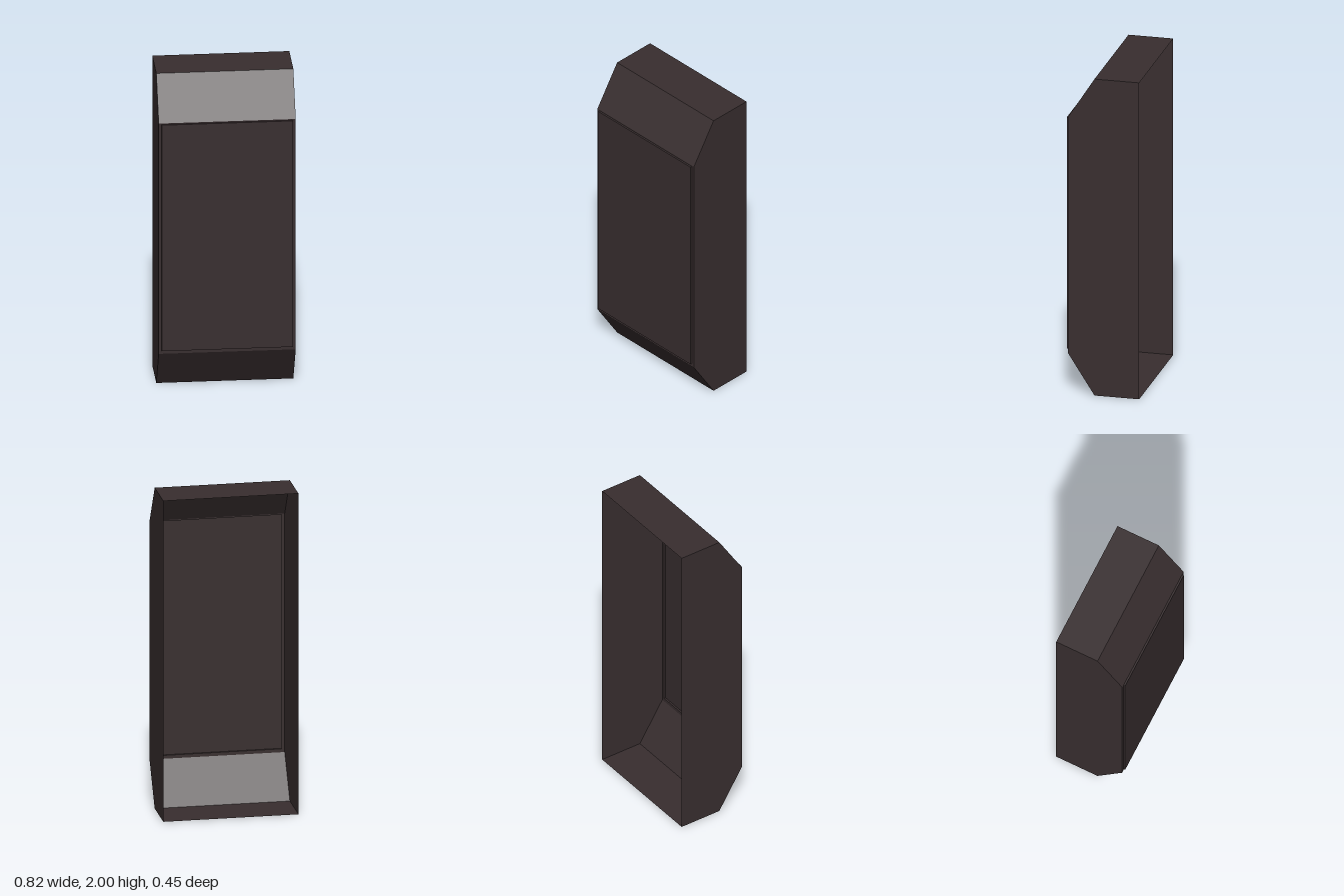
import * as THREE from 'three';

export function createModel() {
  const group = new THREE.Group();
  const darkBrown = new THREE.MeshStandardMaterial({ color: 0x382e2f, side: THREE.DoubleSide });
  darkBrown.name = 'darkBrown';

  const halfWidth = 0.41;
  const add = (name, geometry) => {
    const mesh = new THREE.Mesh(geometry, darkBrown);
    mesh.name = name;
    group.add(mesh);
    return mesh;
  };

  // Flat four-cornered face, corners counter-clockwise from its front
  const quad = (a, b, c, d) => {
    const g = new THREE.BufferGeometry();
    g.setAttribute('position', new THREE.Float32BufferAttribute([a, b, c, a, c, d].flat(), 3));
    g.computeVertexNormals();
    return g;
  };

  // Side profile as [z, y], open at the back
  const profile = [[-0.225, 0], [0.05, 0], [0.214, 0.256], [0.214, 1.744], [0.05, 2], [-0.225, 2]];

  // Side walls
  const sideShape = new THREE.Shape(profile.map(([z, y]) => new THREE.Vector2(-z, y)));
  const sideGeometry = new THREE.ShapeGeometry(sideShape);
  for (const s of [-1, 1]) {
    const geometry = sideGeometry.clone();
    if (s < 0) geometry.scale(-1, 1, 1).rotateY(-Math.PI / 2);
    else geometry.rotateY(Math.PI / 2);
    // Reversed outlines are rebuilt facing outward
    const p = geometry.attributes.position, index = geometry.index.array;
    const [a, b, c] = [0, 1, 2].map(i => new THREE.Vector3().fromBufferAttribute(p, index[i]));
    if (b.sub(a).cross(c.sub(a)).x * s < 0) index.reverse();
    geometry.computeVertexNormals();
    add(s < 0 ? 'rightWall' : 'leftWall', geometry).position.x = s * halfWidth;
  }

  // Base, bevels and top follow the profile
  const strips = { 0: 'base', 1: 'lowerBevel', 3: 'upperBevel', 4: 'top' };
  for (const [i, name] of Object.entries(strips)) {
    const [z0, y0] = profile[+i], [z1, y1] = profile[+i + 1];
    add(name, quad([-halfWidth, y0, z0], [halfWidth, y0, z0], [halfWidth, y1, z1], [-halfWidth, y1, z1]));
  }

  // Front frame around the raised panel
  const px = 0.392, py0 = 0.277, py1 = 1.737, zFrame = 0.214, zPanel = 0.225;
  const rectangle = (Type, x, y0, y1) => new Type([[-x, y0], [x, y0], [x, y1], [-x, y1]]
    .map(([u, v]) => new THREE.Vector2(u, v)));
  const frame = rectangle(THREE.Shape, halfWidth, 0.256, 1.744);
  frame.holes.push(rectangle(THREE.Path, px, py0, py1));
  add('frontFrame', new THREE.ShapeGeometry(frame)).position.z = zFrame;

  // Raised panel, hollow behind, with thin step walls
  add('frontPanel', new THREE.ShapeGeometry(rectangle(THREE.Shape, px, py0, py1))).position.z = zPanel;
  const corners = [[-px, py0], [px, py0], [px, py1], [-px, py1]];
  corners.forEach((a, i) => {
    const b = corners[(i + 1) % 4];
    add('panelEdge', quad([...a, zFrame], [...b, zFrame], [...b, zPanel], [...a, zPanel]));
  });

  return group;
}
